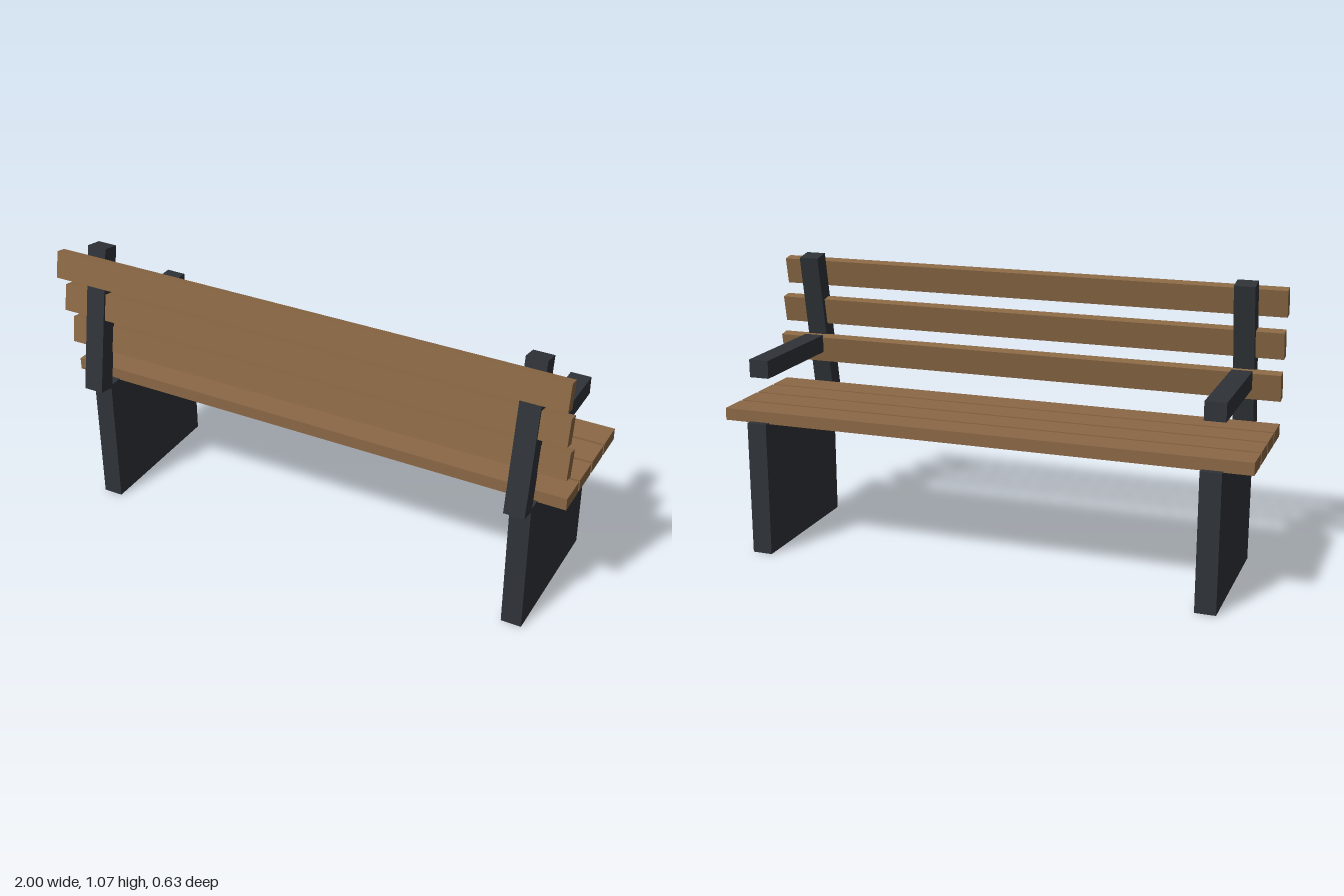
import * as THREE from 'three';

export function createModel() {
  const bench = new THREE.Group();
  bench.name = 'bench';
  const wood = new THREE.MeshStandardMaterial({ color: 0x8b6845 });
  const metal = new THREE.MeshStandardMaterial({ color: 0x2f3338 });
  const tilt = -0.178; // backrest lean

  function addBox(name, material, [w, h, d], [x, y, z], rotX = 0) {
    const mesh = new THREE.Mesh(new THREE.BoxGeometry(w, h, d), material);
    mesh.name = name;
    mesh.position.set(x, y, z);
    mesh.rotation.x = rotX;
    bench.add(mesh);
  }

  // Panel leg, leaning back post and armrest on each side
  for (const [side, s] of [['left', 1], ['right', -1]]) {
    const x = s * 0.858;
    addBox(side + 'Leg', metal, [0.077, 0.514, 0.572], [x, 0.257, -0.031]);
    addBox(side + 'BackPost', metal, [0.077, 0.569, 0.067], [x, 0.787, 0.233], tilt);
    addBox(side + 'Armrest', metal, [0.077, 0.068, 0.457], [x, 0.716, -0.053]);
  }

  // Four seat slats with narrow gaps
  for (let i = 0; i < 4; i++) {
    addBox('seatSlat' + (i + 1), wood, [2, 0.046, 0.114], [0, 0.533, 0.142 - i * 0.126]);
  }

  // Three tilted back slats, stepping through the posts from bottom to top
  for (let i = 0; i < 3; i++) {
    addBox('backSlat' + (i + 1), wood, [2, 0.102, 0.04], [0, 0.695 + i * 0.149, 0.2 + i * 0.0285], tilt);
  }

  return bench;
}
